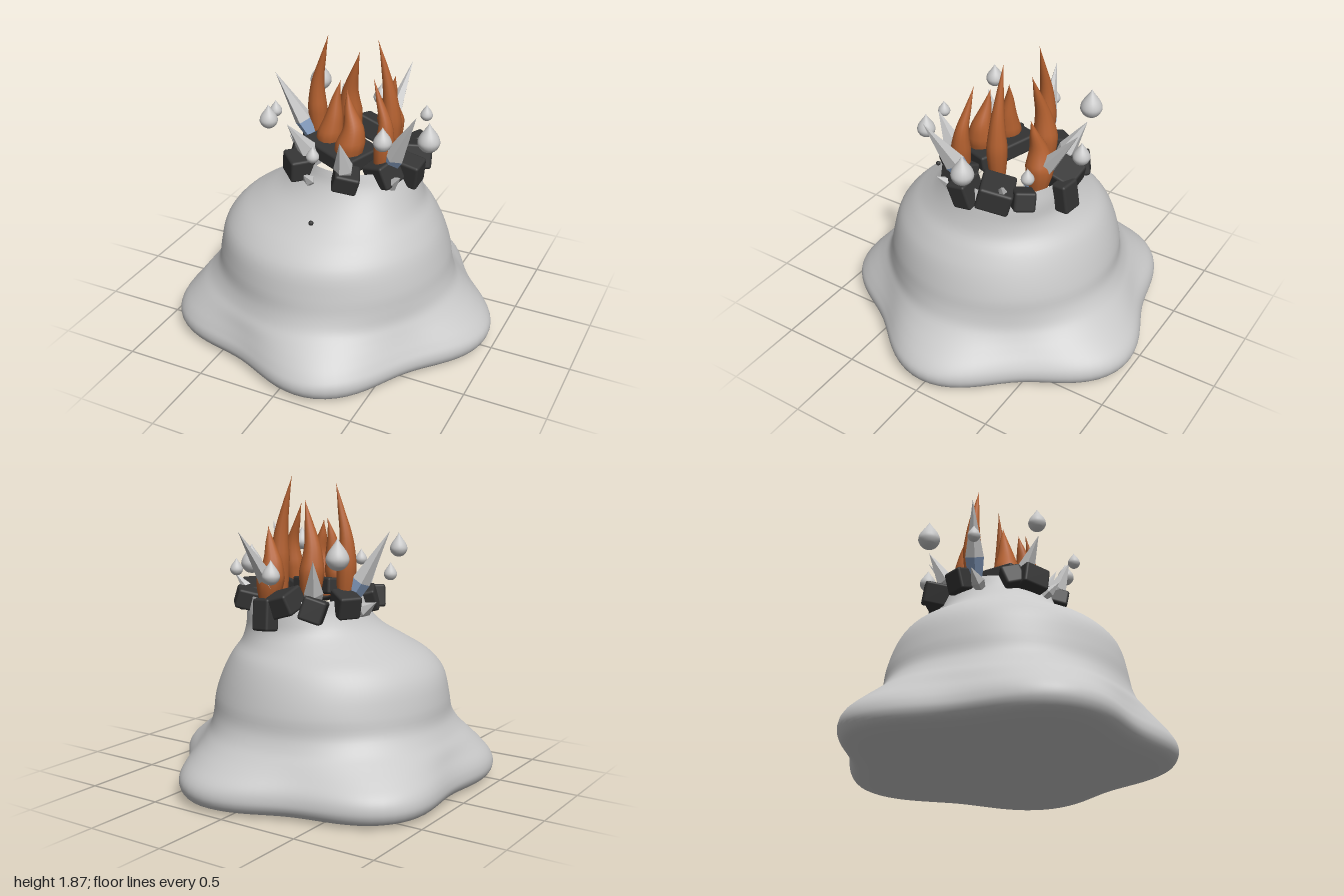
import * as THREE from 'three';
import { RoundedBoxGeometry } from 'three/addons/geometries/RoundedBoxGeometry.js';

const mat = (name, color, side = THREE.FrontSide) => {
  const m = new THREE.MeshStandardMaterial({ color, side });
  m.name = name;
  return m;
};
const V = (a) => new THREE.Vector3(...a);

// Skin a list of point rings; each ring runs x -> z while rings climb upwards
function skin(rings) {
  const n = rings[0].length, pos = [], index = [];
  rings.forEach((ring) => ring.forEach((p) => pos.push(p.x, p.y, p.z)));
  for (let i = 0; i < rings.length - 1; i++) {
    for (let j = 0; j < n; j++) {
      const a = i * n + j, b = i * n + ((j + 1) % n);
      index.push(a, a + n, b, b, a + n, b + n);
    }
  }
  const g = new THREE.BufferGeometry();
  g.setAttribute('position', new THREE.Float32BufferAttribute(pos, 3));
  g.setIndex(index);
  g.computeVertexNormals();
  return g;
}

// Mound: open at the top, five soft lobes at the foot, axis drifting with height
function moundGeometry() {
  // height, radius, lobe depth, axis x, axis z
  const rows = [
    [0.005, 0.002, 0, -0.06, 0], [0.005, 0.5, 0.03, -0.06, 0], [0.008, 0.82, 0.06, -0.06, 0],
    [0.03, 0.92, 0.07, -0.06, 0], [0.08, 0.955, 0.07, -0.06, 0], [0.13, 0.955, 0.07, -0.06, 0],
    [0.18, 0.93, 0.065, -0.065, 0], [0.24, 0.88, 0.05, -0.07, 0.01], [0.3, 0.827, 0.03, -0.075, 0.02],
    [0.36, 0.778, 0.015, -0.07, 0.025], [0.44, 0.743, 0.005, -0.058, 0.03], [0.55, 0.725, 0, -0.06, 0.03],
    [0.7, 0.68, 0, -0.065, 0.035], [0.8, 0.61, 0, -0.055, 0.02], [0.88, 0.515, 0, -0.02, 0.005],
    [0.97, 0.425, 0, 0.035, -0.025], [1.07, 0.375, 0, 0.06, -0.06], [1.16, 0.35, 0, 0.06, -0.07],
  ];
  const shape = new THREE.CatmullRomCurve3(rows.map((r) => V([r[1], r[0], r[2]])));
  const axis = new THREE.CatmullRomCurve3(rows.map((r) => V([r[3], 0, r[4]])), false, 'catmullrom');
  const rings = [], steps = (rows.length - 1) * 4, sides = 100;
  for (let i = 0; i <= steps; i++) {
    const s = shape.getPoint(i / steps), c = axis.getPoint(i / steps), ring = [];
    for (let j = 0; j < sides; j++) {
      const a = (j / sides) * Math.PI * 2;
      const r = Math.max(0.001, s.x + s.z * Math.cos(5 * a));
      ring.push(V([c.x + r * Math.cos(a), Math.max(0, s.y), c.z + r * Math.sin(a)]));
    }
    rings.push(ring);
  }
  return skin(rings);
}

// Flame: S-curved tongue, fattest low down and drawn out to a point
function flameGeometry([x, z], [tx, ty, tz], bow, radius) {
  const base = 1.13, h = ty - base;
  const path = new THREE.CatmullRomCurve3([
    V([x, base, z]), V([x + bow * 0.4, base + h * 0.28, z]),
    V([x + (tx - x) * 0.3 + bow, base + h * 0.55, z + (tz - z) * 0.3]),
    V([x + (tx - x) * 0.6 + bow * 0.3, base + h * 0.8, z + (tz - z) * 0.7]), V([tx, ty, tz]),
  ]);
  const rings = [];
  for (let i = 0; i <= 24; i++) {
    const t = i / 24, p = path.getPoint(t), ring = [];
    const r = radius * (t < 0.3 ? 0.65 + 0.35 * Math.sin((t / 0.3) * Math.PI / 2)
      : Math.max(0.01, Math.pow(1 - (t - 0.3) / 0.7, 1.15)));
    for (let j = 0; j < 12; j++) {
      const a = (j / 12) * Math.PI * 2;
      ring.push(V([p.x + r * Math.cos(a), p.y, p.z + r * Math.sin(a)]));
    }
    rings.push(ring);
  }
  return skin(rings);
}

function flat(g) {
  const f = g.toNonIndexed();
  f.computeVertexNormals();
  return f;
}

// Faceted crystal: prism shaft plus long pointed tip, aimed from base to tip
function crystal(from, to, radius, shaftMat, tipMat) {
  const a = V(from), d = V(to).sub(a), len = d.length(), shaft = len * 0.32;
  const g = new THREE.Group();
  g.name = 'crystal';
  const low = new THREE.Mesh(flat(new THREE.CylinderGeometry(radius, radius * 0.7, shaft, 5)), shaftMat);
  low.name = 'crystalShaft';
  low.position.y = shaft / 2;
  const top = new THREE.Mesh(flat(new THREE.ConeGeometry(radius, len - shaft, 5, 1, true)), tipMat);
  top.name = 'crystalTip';
  top.position.y = (len + shaft) / 2;
  g.add(low, top);
  g.position.copy(a);
  g.quaternion.setFromUnitVectors(V([0, 1, 0]), d.normalize());
  return g;
}

export function createModel() {
  const model = new THREE.Group();
  model.name = 'fieryMound';
  const grey = mat('pale grey', 0xc8c8c8);
  const dark = mat('charcoal', 0x343434);
  const orange = mat('burnt orange', 0xb3602f);
  const blue = mat('ice blue', 0x8ba4c8);
  const add = (name, geometry, material) => {
    const m = new THREE.Mesh(geometry, material);
    m.name = name;
    model.add(m);
    return m;
  };

  add('mound', moundGeometry(), grey);

  // Ring of tumbled rocks: centre, size
  [
    [-0.21, 1.13, 0.23, 0.17, 0.14, 0.15], [0.13, 1.135, 0.29, 0.15, 0.12, 0.15],
    [0.3, 1.14, 0.13, 0.16, 0.15, 0.17], [0.41, 1.13, 0.01, 0.13, 0.17, 0.17],
    [0.37, 1.15, -0.17, 0.2, 0.15, 0.21], [0.33, 1.14, -0.33, 0.13, 0.12, 0.13],
    [-0.01, 1.15, -0.41, 0.19, 0.13, 0.18], [0.08, 1.08, -0.47, 0.13, 0.19, 0.1],
    [-0.2, 1.12, -0.38, 0.14, 0.14, 0.17], [-0.29, 1.14, -0.18, 0.14, 0.14, 0.16],
    [-0.25, 1.13, 0.12, 0.13, 0.14, 0.13],
  ].forEach(([x, y, z, w, h, d], i) => {
    const rock = add('rock', new RoundedBoxGeometry(w, h, d, 2, 0.016), dark);
    rock.position.set(x, y, z);
    rock.rotation.set(0.3 * Math.sin(i * 2.3), Math.atan2(x, z), 0.32 * Math.sin(i * 1.7 + 3.6), 'YXZ');
  });

  // Broad slab across the front of the opening
  const slab = add('slab', new RoundedBoxGeometry(0.41, 0.1, 0.28, 2, 0.016), dark);
  slab.position.set(-0.01, 1.2, 0.06);
  slab.rotation.set(0.1, -0.4, -0.05);

  // Flames: base x/z, tip, sideways bow, radius
  [
    [[-0.25, -0.13], [-0.18, 1.84, -0.12], -0.03, 0.06],
    [[-0.07, -0.23], [0, 1.74, -0.18], -0.03, 0.075],
    [[0.24, -0.1], [0.16, 1.87, -0.09], 0.02, 0.062],
    [[0.28, 0.12], [0.21, 1.7, 0.08], 0.04, 0.06],
    [[0.16, -0.33], [0.19, 1.58, -0.29], -0.03, 0.085],
    [[-0.1, 0.04], [-0.04, 1.62, 0], 0.01, 0.08],
    [[0.06, 0.12], [0.04, 1.6, 0.08], 0.04, 0.09],
  ].forEach(([base, tip, bow, r]) => add('flame', flameGeometry(base, tip, bow, r), orange));

  // Large crystals with blue shafts
  [
    [[-0.26, 1.13, -0.11], [-0.51, 1.57, -0.05], 0.06],
    [[0.29, 1.12, 0.08], [0.53, 1.57, 0.21], 0.065],
    [[0.12, 1.1, -0.24], [0.18, 1.57, -0.59], 0.06],
  ].forEach(([a, b, r]) => model.add(crystal(a, b, r, blue, grey)));

  // Smaller grey crystals
  [
    [[-0.14, 1.12, 0.13], [-0.25, 1.41, 0.29], 0.062],
    [[0.12, 1.12, 0.27], [0.14, 1.41, 0.39], 0.06],
    [[-0.14, 1.13, -0.29], [-0.23, 1.41, -0.43], 0.06],
    [[0.33, 1.1, -0.2], [0.47, 1.28, -0.27], 0.045],
    [[0.32, 1.05, 0.13], [0.44, 1.17, 0.2], 0.045],
    [[-0.31, 1.07, -0.06], [-0.44, 1.15, -0.08], 0.045],
    [[-0.1, 1.06, 0.28], [-0.1, 1.15, 0.38], 0.035],
  ].forEach(([a, b, r]) => model.add(crystal(a, b, r, grey, grey)));

  // Floating teardrops: centre, radius
  const profile = [[0, -1], [0.4, -0.92], [0.75, -0.66], [0.97, -0.25], [0.98, 0.1],
    [0.8, 0.55], [0.45, 1.05], [0.2, 1.4], [0, 1.75]].map(([x, y]) => new THREE.Vector2(x, y));
  const drop = new THREE.LatheGeometry(new THREE.SplineCurve(profile).getPoints(20)
    .map((p) => p.set(Math.max(0, p.x), p.y)), 20);
  [
    [-0.51, 1.32, -0.04, 0.039], [-0.36, 1.43, 0.31, 0.054], [0, 1.325, 0.45, 0.038],
    [0.37, 1.43, 0.31, 0.054], [0.515, 1.315, -0.04, 0.068], [0.365, 1.32, -0.38, 0.039],
    [0, 1.32, -0.52, 0.053], [-0.365, 1.43, -0.38, 0.068],
  ].forEach(([x, y, z, r]) => {
    const d = add('teardrop', drop, grey);
    d.position.set(x, y, z);
    d.scale.setScalar(r);
  });

  // Small bead in front of the mound
  add('bead', new THREE.SphereGeometry(0.015, 12, 8), dark).position.set(0.01, 0.92, 0.505);
  return model;
}
